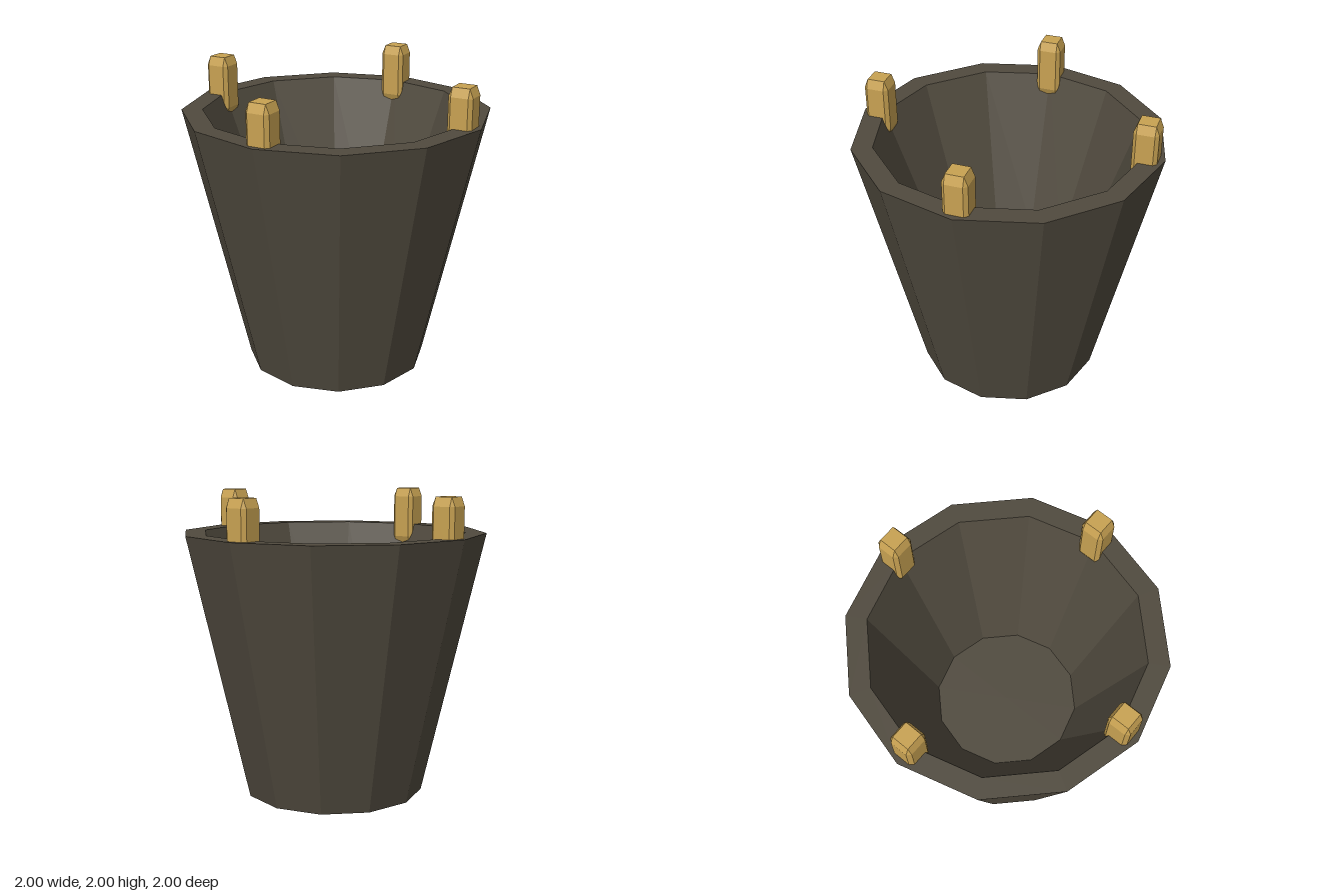
import * as THREE from 'three';
import { ConvexGeometry } from 'three/addons/geometries/ConvexGeometry.js';

// Cube with every edge chamfered, stretched to the given size
function chamferedBox(width, height, depth, bevel) {
  const a = 0.5 - bevel, points = [];
  for (const x of [-1, 1]) for (const y of [-1, 1]) for (const z of [-1, 1]) {
    for (const [px, py, pz] of [[0.5, a, a], [a, 0.5, a], [a, a, 0.5]]) {
      points.push(new THREE.Vector3(x * px * width, y * py * height, z * pz * depth));
    }
  }
  return new ConvexGeometry(points);
}

export function createModel() {
  const model = new THREE.Group();
  model.name = 'bucket';

  const darkStone = new THREE.MeshStandardMaterial({ color: 0x504a3e, flatShading: true, side: THREE.DoubleSide });
  darkStone.name = 'dark stone';
  const gold = new THREE.MeshStandardMaterial({ color: 0xc8a252, flatShading: true });
  gold.name = 'gold';

  // Twelve-sided tapered shell: outer wall, flat rim, inner wall and raised floor, open underneath
  const profile = [[0.6, 0], [1, 1.745], [0.865, 1.745], [0.48, 0.7], [0, 0.7]]
    .map(([r, y]) => new THREE.Vector2(r, y));
  const shell = new THREE.Mesh(new THREE.LatheGeometry(profile, 12), darkStone);
  shell.name = 'shell';
  model.add(shell);

  // Four chamfered posts standing on the rim
  const postGeometry = chamferedBox(0.16, 0.4, 0.16, 0.145);
  for (let i = 0; i < 4; i++) {
    const angle = i * Math.PI / 2;
    const post = new THREE.Mesh(postGeometry, gold);
    post.name = 'rimPost' + (i + 1);
    post.position.set(Math.sin(angle) * 0.88, 1.8, Math.cos(angle) * 0.88);
    post.rotation.y = angle;
    model.add(post);
  }

  return model;
}
